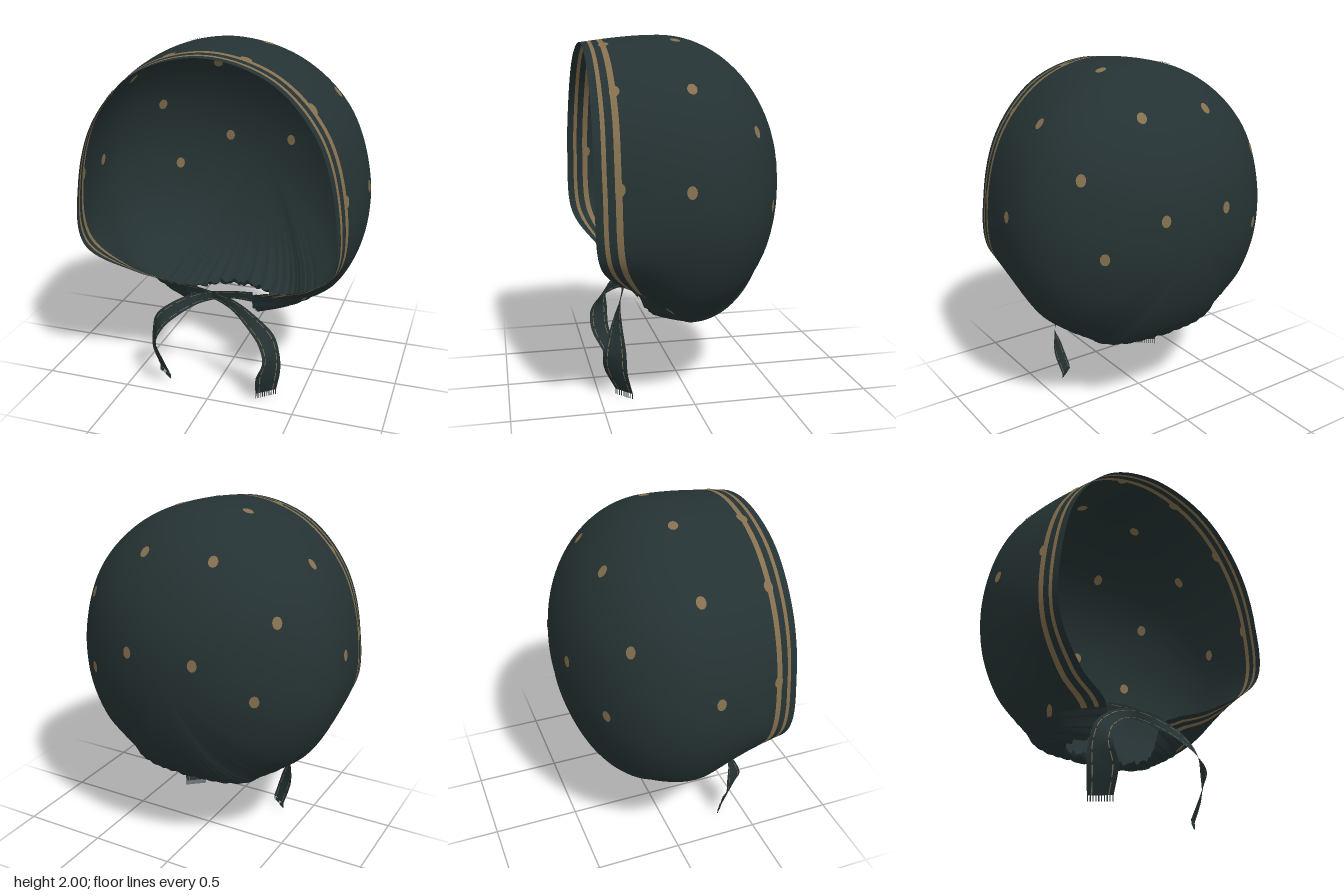
import * as THREE from 'three';

const cloth = new THREE.MeshStandardMaterial({ color: 0x253233, side: THREE.DoubleSide });
cloth.name = 'dark green cloth';
const gold = new THREE.MeshStandardMaterial({ color: 0x85704f, side: THREE.DoubleSide });
gold.name = 'dull gold print';

const V = (x, y, z) => new THREE.Vector3(x, y, z);

// Half loops, top to bottom: the open edge, and the widest line of the bonnet
const EDGE = [[0, 1.96, .545], [.36, 1.86, .55], [.6, 1.6, .555], [.705, 1.25, .56], [.7, .88, .54],
  [.46, .69, .4], [.2, .58, .28], [.2, .45, .19], [.27, .44, .03], [.17, .44, -.1], [0, .465, -.13]];
const WIDE = [[0, 2, .1], [.38, 1.9, .08], [.66, 1.64, .06], [.79, 1.25, .06], [.765, .9, .05],
  [.64, .64, .05], [.5, .52, .04], [.4, .46, .02], [.34, .43, -.03], [.2, .425, -.11], [0, .435, -.15]];

function closedLoop(half) {
  const mirrored = half.slice(1, -1).reverse().map(([x, y, z]) => [-x, y, z]);
  return new THREE.CatmullRomCurve3([...half, ...mirrored].map(p => V(...p)), true);
}

// Grid with a list of triangles per material
function build(positions, clothIndex, goldIndex) {
  const g = new THREE.BufferGeometry();
  g.setAttribute('position', new THREE.Float32BufferAttribute(positions, 3));
  g.setIndex([...clothIndex, ...goldIndex]);
  g.addGroup(0, clothIndex.length, 0);
  g.addGroup(clothIndex.length, goldIndex.length, 1);
  g.computeVertexNormals();
  return g;
}

function shellGeometry() {
  const N = 240, edge = closedLoop(EDGE), wide = closedLoop(WIDE);
  const front = [0, .08, .125, .2, .265, .35, .45, .55, .65, .75, .85, .93];
  const BACK = 24, rows = front.length + BACK, pos = [], dark = [], light = [];
  for (let j = 0; j < rows; j++) {
    for (let i = 0; i < N; i++) {
      const u = i / N, k = 20 * Math.min(u, 1 - u);
      const a = edge.getPoint(u), b = wide.getPoint(u), p = V(0, 0, 0);
      // gathers that fade upwards from the neck
      const low = THREE.MathUtils.smoothstep(k, 5.2, 7);
      const ripple = Math.sin(k * 15) * .6 + Math.sin(k * 27 + 1) * .4;
      let fade;
      if (j < front.length) {
        const s = front[j], e = Math.sin(s * Math.PI / 2);
        p.set(a.x + (b.x - a.x) * e, a.y + (b.y - a.y) * e, a.z + (b.z - a.z) * s);
        fade = 1 + (1 - s) * .5;
      } else {
        const q = (1 - (j - front.length) / BACK) * Math.PI / 2;
        p.set(b.x * Math.sin(q), 1.2 + (b.y - 1.2) * Math.sin(q), -.56 + (b.z + .56) * (1 - Math.cos(q)));
        fade = Math.max(0, Math.sin(q) * 2.4 - 1.4);
      }
      p.y += ripple * low * fade * .013;
      p.x *= 1 + ripple * low * fade * .018;
      pos.push(p.x, p.y, p.z);
    }
  }
  pos.push(0, 1.2, -.56);
  const at = (j, i) => j === rows ? rows * N : j * N + i % N;
  for (let j = 0; j < rows; j++) for (let i = 0; i < N; i++) {
    const k = 20 * Math.min((i + .5) / N, 1 - (i + .5) / N);
    const list = (j === 1 || j === 3) && k < 6 ? light : dark;
    list.push(at(j, i), at(j, i + 1), at(j + 1, i));
    if (j < rows - 1) list.push(at(j, i + 1), at(j + 1, i + 1), at(j + 1, i));
  }
  return build(pos, dark, light);
}

// Printed dots: thin discs laid on both faces of the cloth
function addDot(group, shell, target, w, h) {
  const P = shell.attributes.position, Nn = shell.attributes.normal;
  const v = V(0, 0, 0), best = V(0, 0, 0), n = V(0, 0, 0);
  let d = Infinity;
  for (let i = 0; i < P.count; i++) {
    v.fromBufferAttribute(P, i);
    const e = v.distanceToSquared(target);
    if (e < d) { d = e; best.copy(v); n.fromBufferAttribute(Nn, i); }
  }
  const flat = target.clone().addScaledVector(n, best.clone().sub(target).dot(n));
  for (const side of [1, -1]) {
    const dot = new THREE.Mesh(new THREE.CircleGeometry(1, 12), gold);
    dot.name = 'printedDot';
    dot.scale.set(w, h, 1);
    dot.position.copy(flat).addScaledVector(n, side * .004);
    dot.lookAt(dot.position.clone().addScaledVector(n, side));
    group.add(dot);
  }
}

// Ribbon tie: centre line and half-width vector, mirrored by side
function makeTie(side, lift, dz) {
  const tie = new THREE.Group();
  tie.name = side > 0 ? 'leftTie' : 'rightTie';
  const line = [[-.2, .57, .27], [-.06, .572, .295], [.1, .54, .33], [.23, .47, .375], [.32, .385, .41],
    [.352, .28, .42], [.335, .17, .415], [.31, .03, .365]];
  const width = [[0, .035, .01], [0, .028, .01], [.01, .03, 0], [.025, .03, -.015], [.035, .022, -.035],
    [.034, .005, -.058], [.055, 0, -.058], [.05, 0, -.042]];
  const c = new THREE.CatmullRomCurve3(line.map(([x, y, z], i) =>
    V(x * side, y + lift * i / 7, z + dz * (i < 4 ? 1 : 0))));
  const w = new THREE.CatmullRomCurve3(width.map(([x, y, z]) => V(x * side, y, z)));
  const across = [-1, -.68, -.6, 0, .6, .68, 1], M = 48, A = across.length;
  const pos = [], dark = [], light = [];
  for (let j = 0; j <= M; j++) for (const s of across) {
    const p = c.getPoint(j / M).addScaledVector(w.getPoint(j / M), s);
    pos.push(p.x, p.y, p.z);
  }
  for (let j = 0; j < M; j++) for (let i = 0; i < A - 1; i++) {
    const a = j * A + i;
    ((i === 1 || i === 4) && j % 4 ? light : dark).push(a, a + 1, a + A, a + 1, a + A + 1, a + A);
  }
  const ribbon = new THREE.Mesh(build(pos, dark, light), [cloth, gold]);
  ribbon.name = 'ribbon';
  tie.add(ribbon);
  // frayed end
  for (let i = 0; i < 10; i++) {
    const p = c.getPoint(1).addScaledVector(w.getPoint(1), -.95 + i * .211);
    const thread = new THREE.Mesh(new THREE.BoxGeometry(.004, .03, .004), cloth);
    thread.name = 'fringeThread';
    thread.position.set(p.x, p.y - .015, p.z);
    tie.add(thread);
  }
  return tie;
}

export function createModel() {
  const model = new THREE.Group();
  model.name = 'bonnet';
  const geometry = shellGeometry();
  const shell = new THREE.Mesh(geometry, [cloth, gold]);
  shell.name = 'bonnetShell';
  model.add(shell);

  const dots = new THREE.Group();
  dots.name = 'printedDots';
  const spots = [[.21, 1.79, -.34], [.575, 1.51, -.32], [.2, 1.28, -.54], [.5, 1.1, -.42], [.21, 1.97, .05],
    [.6, 1.735, .045], [.79, 1.24, .09], [.2, 1.93, .435], [.56, 1.73, .435], [.75, 1.26, .44]];
  for (const [x, y, z] of spots) for (const s of [1, -1]) addDot(dots, geometry, V(x * s, y, z), .027, .034);
  for (const s of [1, -1]) addDot(dots, geometry, V(.47 * s, .52, .14), .014, .045);
  model.add(dots);

  model.add(makeTie(1, 0, .012), makeTie(-1, .03, 0));
  return model;
}
